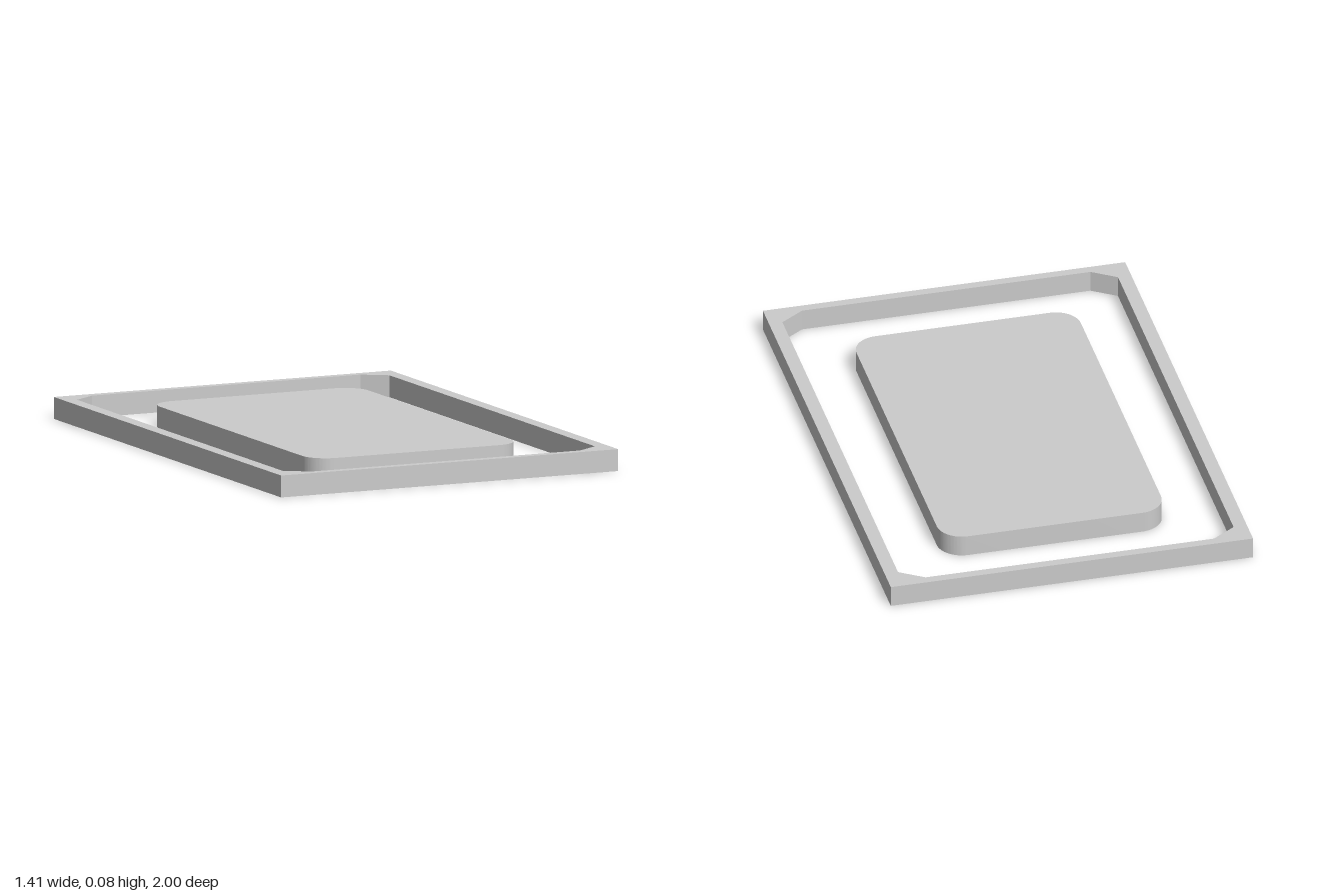
import * as THREE from 'three';
import { toCreasedNormals } from 'three/addons/utils/BufferGeometryUtils.js';

const HEIGHT = 0.084;

// Extrude a plan outline upward from the ground
function slab(name, shape) {
  const geometry = new THREE.ExtrudeGeometry(shape, { depth: HEIGHT, bevelEnabled: false, curveSegments: 12 });
  geometry.rotateX(-Math.PI / 2);
  const material = new THREE.MeshStandardMaterial({ color: 0xcccccc });
  const mesh = new THREE.Mesh(toCreasedNormals(geometry, Math.PI / 6), material);
  mesh.name = name;
  return mesh;
}

const points = (list) => list.map(([x, y]) => new THREE.Vector2(x, y));

// Rectangular border whose opening has chamfered corners
function frameShape() {
  const w = 0.706, d = 1;
  const shape = new THREE.Shape(points([[-w, -d], [w, -d], [w, d], [-w, d]]));
  const x = 0.654, y = 0.965, cx = 0.562, cy = 0.904;
  shape.holes.push(new THREE.Path(points([
    [-cx, -y], [-x, -cy], [-x, cy], [-cx, y],
    [cx, y], [x, cy], [x, -cy], [cx, -y],
  ])));
  return shape;
}

// Rectangle with quarter-circle corners
function panelShape() {
  const w = 0.437, d = 0.724, r = 0.097;
  const shape = new THREE.Shape();
  shape.absarc(w - r, d - r, r, 0, Math.PI / 2);
  shape.absarc(-w + r, d - r, r, Math.PI / 2, Math.PI);
  shape.absarc(-w + r, -d + r, r, Math.PI, Math.PI * 1.5);
  shape.absarc(w - r, -d + r, r, Math.PI * 1.5, Math.PI * 2);
  return shape;
}

export function createModel() {
  const group = new THREE.Group();
  group.name = 'framedPanel';
  const panel = slab('centrePanel', panelShape());
  panel.position.x = -0.003;
  group.add(slab('outerFrame', frameShape()), panel);
  return group;
}
